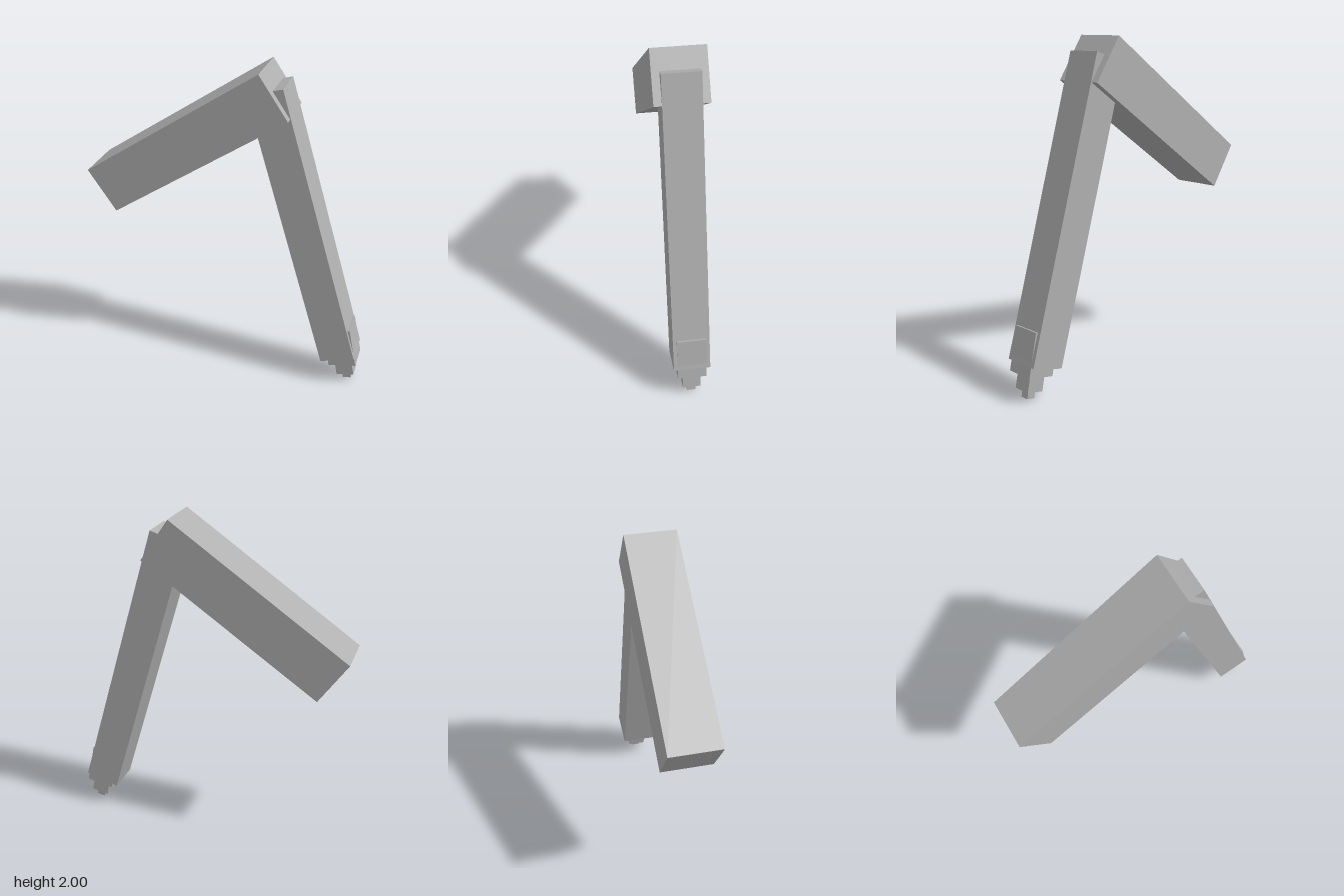
import * as THREE from 'three';

export function createModel() {
  const group = new THREE.Group();
  group.name = 'jointedArm';

  const grey = new THREE.MeshStandardMaterial({ color: 0xb0b0b0 });
  grey.name = 'plain grey';

  // Each segment is a square bar centred at (x, y) and tilted in the xy plane.
  const bar = (name, width, length, x, y, degrees) => {
    const mesh = new THREE.Mesh(new THREE.BoxGeometry(width, length, width), grey);
    mesh.name = name;
    mesh.position.set(x, y, 0);
    mesh.rotation.z = THREE.MathUtils.degToRad(degrees);
    group.add(mesh);
  };

  // Main limbs meeting at the elbow
  bar('upperArm', 0.302, 1.277, -0.2375, 1.515, -55.7);
  bar('forearm', 0.214, 1.769, 0.48, 1.0375, 16.55);

  // Stepped end, each piece set into the one above
  bar('palm', 0.17, 0.26, 0.735, 0.268, 12);
  bar('finger', 0.107, 0.16, 0.765, 0.128, 12);
  bar('fingertip', 0.051, 0.08, 0.783, 0.044, 12);

  return group;
}
